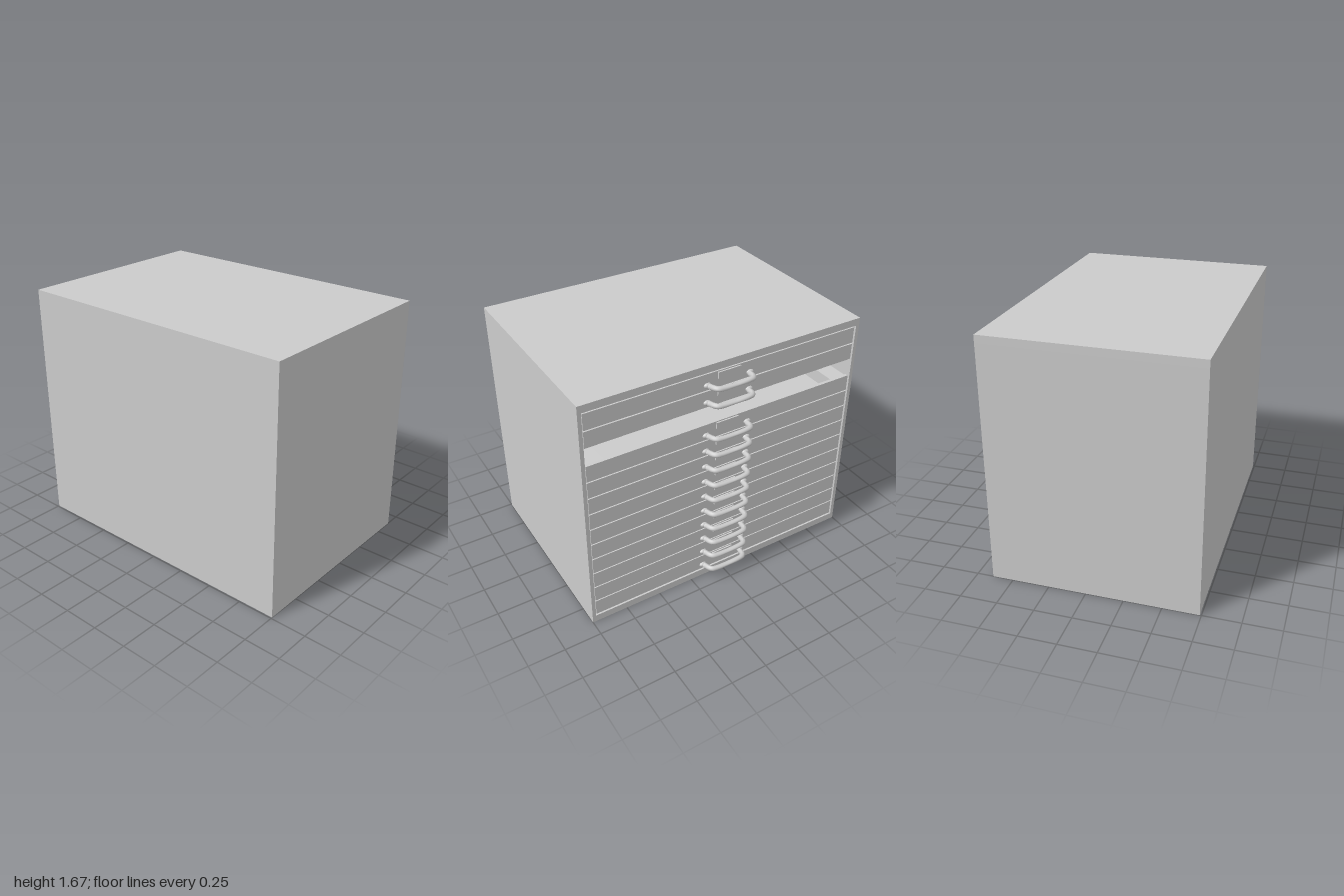
import * as THREE from 'three';

const grey = new THREE.MeshStandardMaterial({ color: 0xcccccc });

// Box given by its min and max corners
function box(name, x0, x1, y0, y1, z0, z1) {
  const mesh = new THREE.Mesh(new THREE.BoxGeometry(x1 - x0, y1 - y0, z1 - z0), grey);
  mesh.name = name;
  mesh.position.set((x0 + x1) / 2, (y0 + y1) / 2, (z0 + z1) / 2);
  return mesh;
}

const BACK = -0.74, FRONT = 0.64, HEIGHT = 1.67;
const FACE = 0.632;               // drawer faces sit slightly inside the frame
const BOTTOM = 0.055, PITCH = 0.12, SLOTS = 13, OPEN_SLOT = 10;

// Bow handle: a bent tube, thicker at the corners than along the grip
function gripGeometry() {
  const half = [[0.63, -0.008, 0.152], [0.655, -0.005, 0.143], [0.685, 0, 0.138],
    [0.708, 0.002, 0.125], [0.717, 0.002, 0.09]];
  const points = [...half, [0.719, 0.002, 0], ...half.map(([x, y, z]) => [x, y, -z]).reverse()];
  const curve = new THREE.CatmullRomCurve3(points.map(p => new THREE.Vector3(...p)));
  const segments = 48, sides = 12;
  const geometry = new THREE.TubeGeometry(curve, segments, 0.018, sides);
  const pos = geometry.attributes.position, v = new THREE.Vector3();
  for (let i = 0; i < pos.count; i++) {
    const u = Math.floor(i / (sides + 1)) / segments;
    const centre = curve.getPointAt(u);
    v.fromBufferAttribute(pos, i).sub(centre);
    v.y *= 0.6 + 0.35 * Math.min(1, Math.abs(centre.z) / 0.12);
    v.add(centre);
    pos.setXYZ(i, v.x, v.y, v.z);
  }
  geometry.computeVertexNormals();
  return geometry;
}

function createHandle(grip, foot) {
  const handle = new THREE.Group();
  handle.name = 'handle';
  const bow = new THREE.Mesh(grip, grey);
  bow.name = 'grip';
  handle.add(bow);
  for (const side of [-1, 1]) {
    const pad = new THREE.Mesh(foot, grey);
    pad.name = 'handleFoot';
    pad.position.set(FACE, -0.004, side * 0.153);
    pad.scale.set(0.02, 0.018, 0.026);
    handle.add(pad);
  }
  // Label plate above the grip
  handle.add(box('labelPlate', FACE - 0.002, 0.642, 0.022, 0.067, -0.08, 0.08));
  return handle;
}

function createDrawer(y, grip, foot) {
  const drawer = new THREE.Group();
  drawer.name = 'drawer';
  const top = y + 0.112;
  drawer.add(box('drawerFront', FACE - 0.022, FACE, y, top, -0.968, 0.968));
  drawer.add(box('drawerFloor', BACK + 0.06, FACE - 0.022, y + 0.005, y + 0.02, -0.95, 0.95));
  drawer.add(box('drawerBack', BACK + 0.04, BACK + 0.06, y + 0.005, top - 0.01, -0.95, 0.95));
  for (const side of [-1, 1]) {
    const wall = box('drawerSide', BACK + 0.06, FACE - 0.022, y + 0.02, top - 0.004, 0.84, 0.96);
    wall.position.z *= side;
    drawer.add(wall);
  }
  const handle = createHandle(grip, foot);
  handle.position.y = y + 0.038;
  drawer.add(handle);
  return drawer;
}

export function createModel() {
  const model = new THREE.Group();
  model.name = 'flatFileCabinet';

  // Cabinet shell, open towards +x
  const shell = new THREE.Group();
  shell.name = 'cabinet';
  shell.add(
    box('cabinetBottom', BACK, FRONT, 0, 0.05, -1, 1),
    box('cabinetTop', BACK, FRONT, HEIGHT - 0.05, HEIGHT, -1, 1),
    box('cabinetBack', BACK, BACK + 0.025, 0.05, HEIGHT - 0.05, -1, 1),
    box('cabinetSideLeft', BACK + 0.025, FRONT, 0.05, HEIGHT - 0.05, 0.975, 1),
    box('cabinetSideRight', BACK + 0.025, FRONT, 0.05, HEIGHT - 0.05, -1, -0.975)
  );
  model.add(shell);

  // Drawers in every slot but one
  const grip = gripGeometry();
  const foot = new THREE.SphereGeometry(1, 16, 10);
  for (let i = 0; i < SLOTS; i++) {
    if (i !== OPEN_SLOT) model.add(createDrawer(BOTTOM + i * PITCH, grip, foot));
  }
  return model;
}
